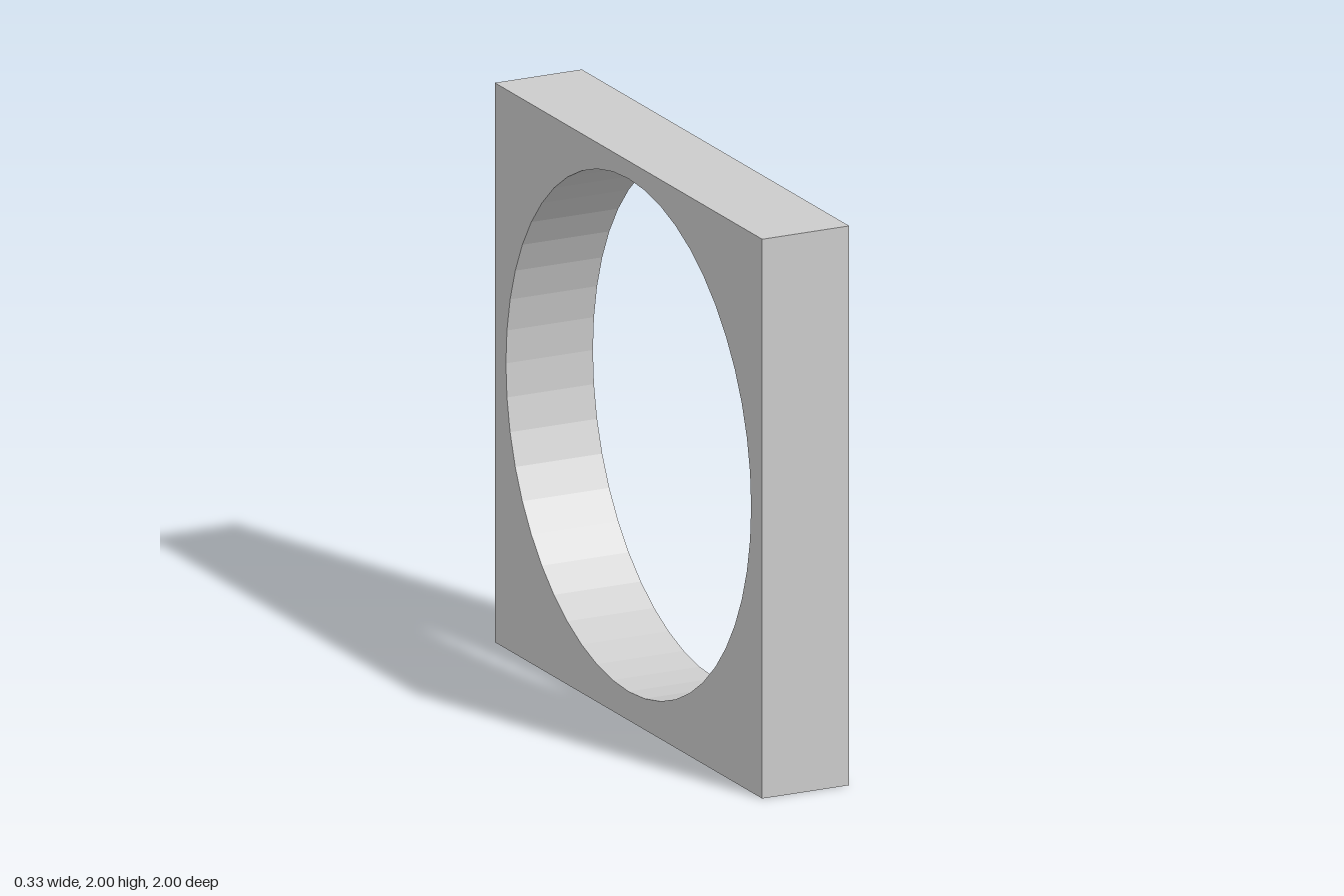
import * as THREE from 'three';

const SIZE = 2;
const DEPTH = 1 / 3;
const HOLE_RADIUS = 0.917;
const HOLE_CENTRE_Y = 1.02;
const HOLE_SIDES = 48;

export function createModel() {
  const group = new THREE.Group();
  const material = new THREE.MeshStandardMaterial({ color: 0xcccccc, flatShading: true });

  // Square outline standing on the ground
  const h = SIZE / 2;
  const outline = new THREE.Shape([
    new THREE.Vector2(-h, 0),
    new THREE.Vector2(h, 0),
    new THREE.Vector2(h, SIZE),
    new THREE.Vector2(-h, SIZE),
  ]);

  // Round opening, slightly above the middle
  const opening = new THREE.Path();
  opening.absarc(0, HOLE_CENTRE_Y, HOLE_RADIUS, 0, Math.PI * 2, true);
  outline.holes.push(opening);

  // Arcs get two sides per curve segment
  const geometry = new THREE.ExtrudeGeometry(outline, {
    depth: DEPTH,
    bevelEnabled: false,
    curveSegments: HOLE_SIDES / 2,
  });
  geometry.translate(0, 0, -DEPTH / 2);
  geometry.rotateY(Math.PI / 2); // the opening faces sideways

  const frame = new THREE.Mesh(geometry, material);
  frame.name = 'squareFrame';
  group.add(frame);
  return group;
}
